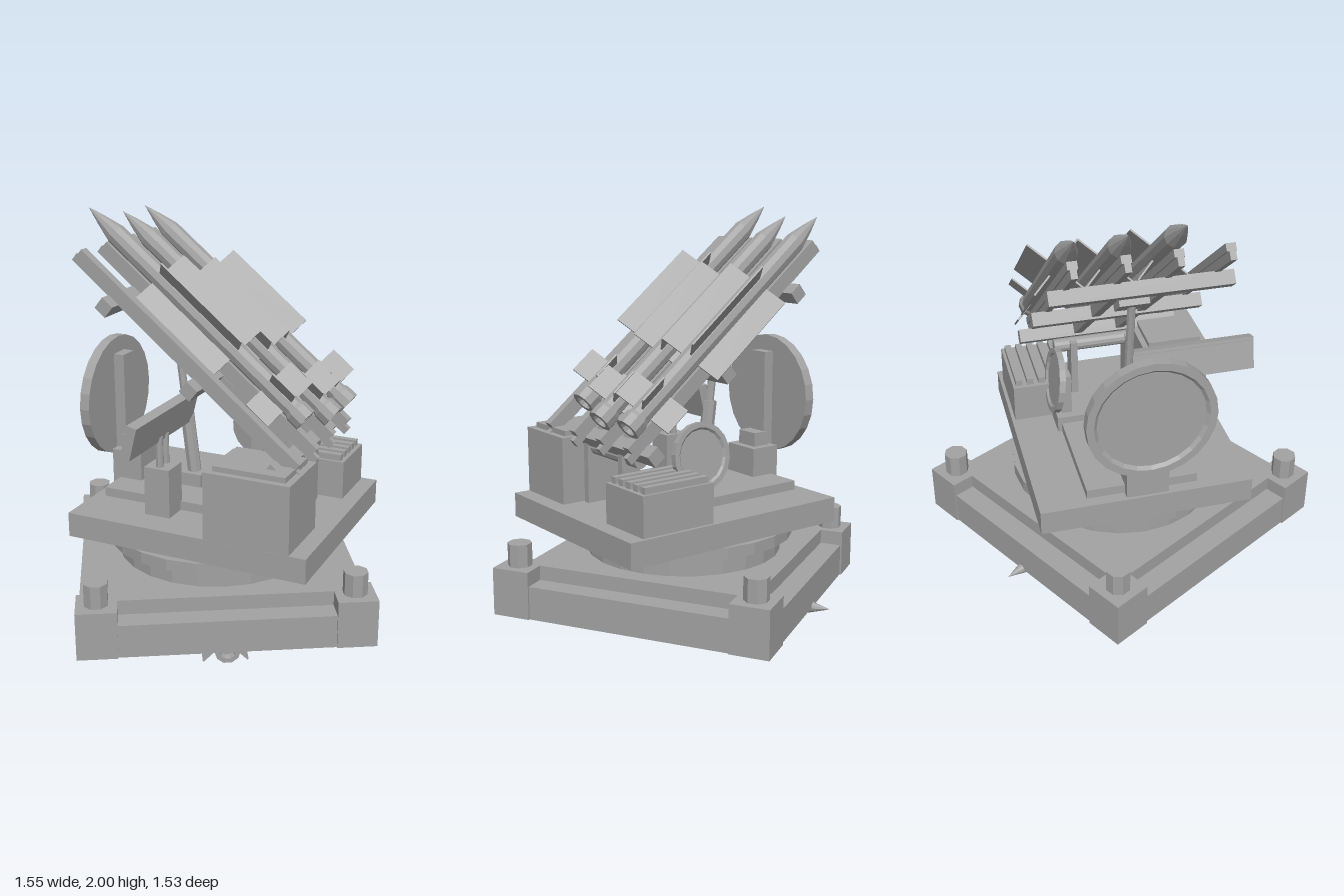
import * as THREE from 'three';

export function createModel() {
  const grey = new THREE.MeshStandardMaterial({ color: 0xa2a2a2 });
  grey.name = 'plain grey';
  const model = new THREE.Group();

  // Faceted mesh from any geometry
  const add = (parent, name, geo, x = 0, y = 0, z = 0) => {
    const g = geo.index ? geo.toNonIndexed() : geo;
    g.computeVertexNormals();
    const m = new THREE.Mesh(g, grey);
    m.name = name;
    m.position.set(x, y, z);
    parent.add(m);
    return m;
  };
  // Box given by its limits
  const box = (parent, name, x0, x1, y0, y1, z0, z1) =>
    add(parent, name, new THREE.BoxGeometry(x1 - x0, y1 - y0, z1 - z0),
      (x0 + x1) / 2, (y0 + y1) / 2, (z0 + z1) / 2);
  const lathe = (pts, sides) =>
    new THREE.LatheGeometry(pts.map(p => new THREE.Vector2(...p)), sides);
  // Rod between two points
  const rod = (parent, name, a, b, r, sides = 8) => {
    const p = new THREE.Vector3(...a), q = new THREE.Vector3(...b);
    const m = add(parent, name, new THREE.CylinderGeometry(r, r, p.distanceTo(q), sides));
    m.position.copy(p).add(q).multiplyScalar(0.5);
    m.quaternion.setFromUnitVectors(new THREE.Vector3(0, 1, 0), q.sub(p).normalize());
    return m;
  };
  const group = (parent, name) => {
    const g = new THREE.Group();
    g.name = name;
    parent.add(g);
    return g;
  };

  // Square base: raised deck, lower ledge, corner blocks and posts
  const base = group(model, 'base');
  base.position.set(-0.057, 0, -0.01);
  box(base, 'baseLedge', -0.675, 0.675, 0.115, 0.275, -0.675, 0.675);
  box(base, 'baseDeck', -0.57, 0.57, 0.275, 0.345, -0.57, 0.57);
  for (const sx of [-1, 1]) for (const sz of [-1, 1]) {
    add(base, 'cornerBlock', new THREE.BoxGeometry(0.187, 0.23, 0.187), sx * 0.59, 0.23, sz * 0.59);
    const post = new THREE.CylinderGeometry(0.058, 0.058, 0.11, 8).rotateY(Math.PI / 8);
    add(base, 'cornerPost', post, sx * 0.59, 0.4, sz * 0.59);
  }
  add(base, 'turntableLower', new THREE.CylinderGeometry(0.48, 0.48, 0.09, 24), 0, 0.39, 0);
  add(base, 'turntableUpper', new THREE.CylinderGeometry(0.54, 0.54, 0.056, 24), 0, 0.463, 0);

  // Turned platform
  const turret = group(model, 'turret');
  turret.position.set(0, 0, 0.02);
  turret.rotation.y = -Math.PI / 6;
  box(turret, 'platform', -0.604, 0.604, 0.49, 0.61, -0.507, 0.507);
  box(turret, 'deckSlab', -0.55, 0.05, 0.61, 0.655, -0.28, 0.25);

  // Equipment cabinet with lid
  box(turret, 'cabinet', 0.107, 0.523, 0.61, 0.935, 0.176, 0.506);
  box(turret, 'cabinetLid', 0.14, 0.49, 0.935, 0.96, 0.205, 0.475);

  // Ribbed power unit
  box(turret, 'powerUnit', 0.14, 0.526, 0.61, 0.8, -0.49, -0.2);
  for (let i = 0; i < 5; i++) {
    const z = -0.475 + i * 0.057;
    box(turret, 'coolingRib', 0.16, 0.506, 0.8, 0.83, z, z + 0.033);
  }

  // Large dish with raised rim, backing strip and pedestal
  const dish = lathe([[0, 0], [0.3, 0], [0.3, 0.05], [0.265, 0.05], [0.25, 0.035], [0, 0.035]], 24);
  add(turret, 'largeDish', dish.rotateZ(Math.PI / 2), -0.595, 1.06, 0);
  box(turret, 'dishSpine', -0.595, -0.54, 0.8, 1.28, -0.05, 0.05);
  box(turret, 'dishPedestal', -0.59, -0.43, 0.61, 0.8, -0.1, 0.1);
  box(turret, 'dishMount', -0.56, -0.47, 0.8, 0.87, -0.06, 0.06);

  // Small dish looking sideways
  const small = lathe([[0, 0], [0.16, 0], [0.16, 0.03], [0.135, 0.03], [0.125, 0.02], [0, 0.02]], 18);
  const smallDish = add(turret, 'smallDish', small.rotateX(-Math.PI / 2), 0.06, 0.87, -0.28);
  smallDish.rotation.x = 0.15;
  box(turret, 'smallDishBase', -0.01, 0.13, 0.61, 0.69, -0.3, -0.16);
  box(turret, 'smallDishPost', 0.03, 0.09, 0.69, 0.9, -0.27, -0.22);

  // Flat sensor panel on a stand
  box(turret, 'sensorBox', -0.265, -0.135, 0.61, 0.85, 0.235, 0.365);
  for (const z of [0.27, 0.33]) rod(turret, 'sensorPost', [-0.2, 0.85, z], [-0.2, 1.0, z], 0.018);
  const panel = group(turret, 'sensorPanel');
  panel.position.set(-0.2, 1.06, 0.31);
  panel.rotation.z = -0.25;
  box(panel, 'panelBody', -0.025, 0.025, -0.08, 0.08, -0.31, 0.31);
  box(panel, 'panelFace', -0.034, -0.025, -0.065, 0.065, -0.29, 0.29);

  // Trunnion and lifting ram
  rod(turret, 'trunnion', [0.36, 0.88, -0.24], [0.36, 0.88, 0.24], 0.035, 12);
  for (const z of [-0.16, 0.13]) {
    box(turret, 'trunnionBracket', 0.31, 0.41, 0.61, 0.91, z, z + 0.035);
  }
  box(turret, 'ramFoot', -0.24, -0.12, 0.655, 0.72, -0.06, 0.06);
  rod(turret, 'ramCylinder', [-0.18, 0.7, 0], [-0.225, 1.06, 0], 0.035);
  rod(turret, 'ramPiston', [-0.225, 1.06, 0], [-0.275, 1.46, 0], 0.02);

  // Missile pointing along -x, tail at the origin
  const missile = (parent) => {
    const g = group(parent, 'missile');
    const body = lathe([[0, 0.025], [0.03, 0.025], [0.038, 0], [0.06, 0], [0.06, 0.06],
      [0.05, 0.08], [0.05, 1.24], [0.025, 1.34], [0, 1.425]], 10);
    add(g, 'missileBody', body.rotateZ(Math.PI / 2));
    for (let i = 0; i < 4; i++) {
      const fins = group(g, 'finPair');
      fins.rotation.x = Math.PI / 4 + i * Math.PI / 2;
      box(fins, 'tailFin', -0.24, -0.1, 0.03, 0.148, -0.004, 0.004);
      box(fins, 'wing', -0.95, -0.44, 0.03, 0.158, -0.004, 0.004);
    }
    return g;
  };

  // Tilted launcher: four rails, three cross beams, three missiles
  const launcher = group(turret, 'launcher');
  launcher.position.set(0.496, 1.06, 0);
  launcher.rotation.z = -39 * Math.PI / 180;
  for (let i = 0; i < 4; i++) {
    const z = -0.33 + i * 0.222;
    box(launcher, 'railTop', -1.32, 0.06, -0.09, -0.055, z - 0.022, z + 0.022);
    box(launcher, 'railBottom', -1.33, 0.09, -0.13, -0.09, z - 0.014, z + 0.014);
    if (i < 3) missile(launcher).position.set(i === 2 ? -0.07 : 0, 0, z);
  }
  for (const x of [-1.06, -0.52, 0]) {
    box(launcher, 'crossBeam', x - 0.033, x + 0.033, -0.19, -0.125, -0.41, 0.41);
  }
  box(launcher, 'ramBracket', -0.9, -0.78, -0.2, -0.13, -0.07, 0.07);
  for (const z of [-0.11, 0.11]) {
    box(launcher, 'spar', -1.06, 0.02, -0.18, -0.13, z - 0.02, z + 0.02);
  }

  // Spare missile stowed beneath the base
  const spare = missile(model);
  spare.name = 'spareMissile';
  spare.position.set(-0.06, 0.113, 0.655);
  spare.rotation.y = -Math.PI / 2;

  return model;
}
